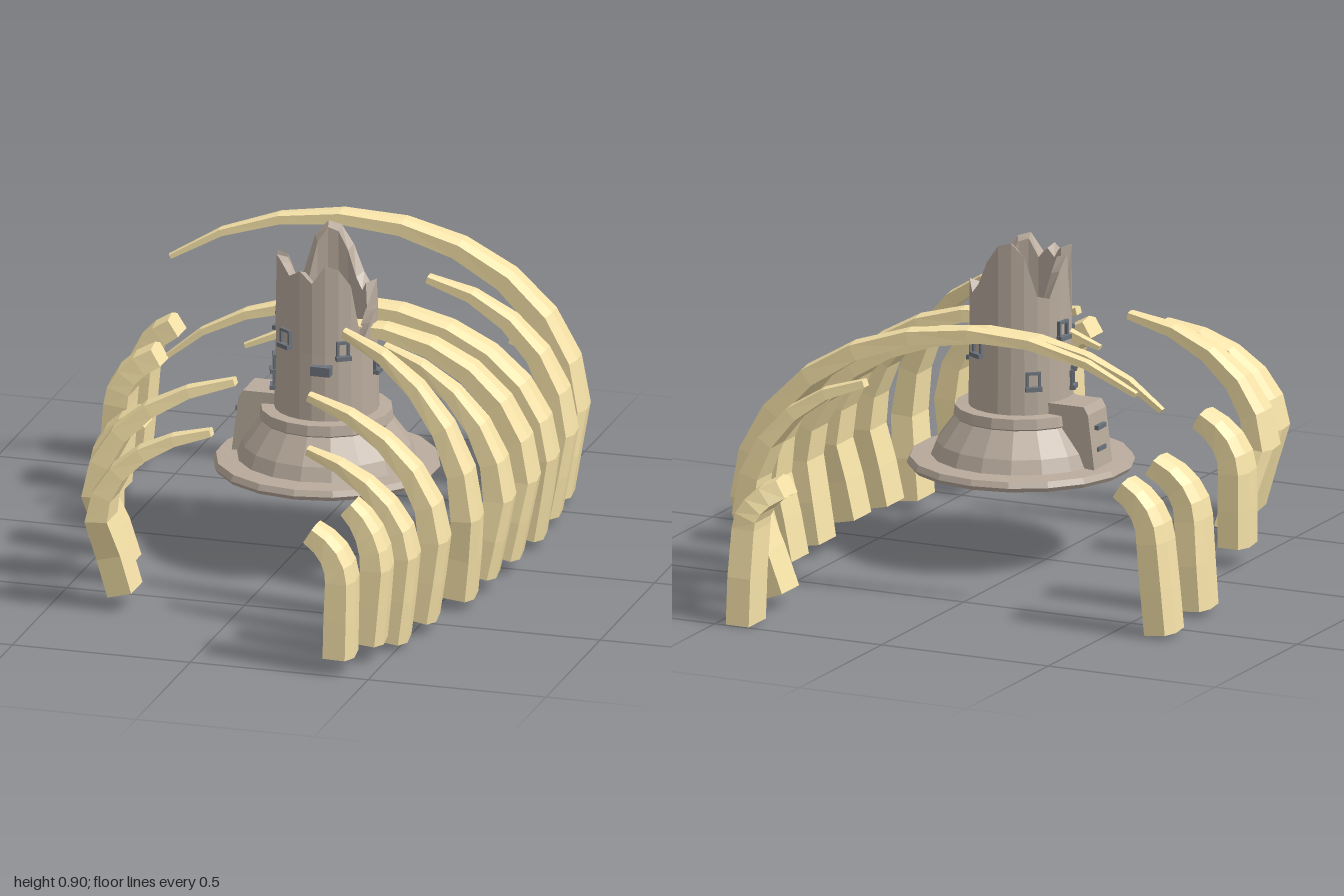
import * as THREE from 'three';

const mat = (color) => new THREE.MeshStandardMaterial({ color, flatShading: true, side: THREE.DoubleSide });
const bone = mat(0xf6e2a8), stone = mat(0xb9ab9d), trim = mat(0x6c737b);
const CX = 0.085, CZ = 0.02; // tower axis

function addMesh(parent, name, geometry, material, x = 0, y = 0, z = 0, ry = 0) {
  const m = new THREE.Mesh(geometry, material);
  m.name = name;
  m.position.set(x, y, z);
  m.rotation.y = ry;
  parent.add(m);
  return m;
}

function fromTriangles(pos, index) {
  const g = new THREE.BufferGeometry();
  g.setAttribute('position', new THREE.Float32BufferAttribute(pos, 3));
  g.setIndex(index);
  const flat = g.toNonIndexed();
  flat.computeVertexNormals();
  return flat;
}

// Tapered rib: ridged section swept up a straight foot, then along an elliptical arc
function ribGeometry(side, { foot, bulge, center, peak, sweep, endWidth = 0.03 }, tipZ) {
  const path = [new THREE.Vector3(...foot)];
  path.push(new THREE.Vector3((foot[0] + bulge[0]) / 2, (foot[1] + 0.27) / 2, foot[2] * 0.7 + bulge[1] * 0.3));
  const steps = Math.max(4, Math.round(sweep / 15));
  const reach = 1 - Math.cos(THREE.MathUtils.degToRad(sweep));
  for (let i = 0; i <= steps; i++) {
    const a = THREE.MathUtils.degToRad(sweep * i / steps);
    path.push(new THREE.Vector3(
      center + (bulge[0] - center) * Math.cos(a),
      0.27 + (peak - 0.27) * Math.sin(a),
      THREE.MathUtils.lerp(bulge[1], tipZ, ((1 - Math.cos(a)) / reach) ** 1.4)));
  }
  path.forEach((p) => { p.x *= side; });
  const section = [[-0.5, -0.5], [0.5, -0.5], [0.5, 0.3], [0.15, 0.5], [-0.5, 0.38]];
  const pos = [], index = [], n = section.length, last = path.length - 1;
  const across = new THREE.Vector3(0, 0, side);
  path.forEach((p, i) => {
    const tangent = path[Math.min(i + 1, last)].clone().sub(path[Math.max(i - 1, 0)]).normalize();
    const out = tangent.clone().cross(across).normalize();
    const s = Math.max(0, (i - 1) / (last - 1)) ** 1.6;
    const w = THREE.MathUtils.lerp(0.105, endWidth, s);
    const d = THREE.MathUtils.lerp(0.078, endWidth * 0.75, s ** 0.75);
    for (const [b, o] of section) {
      pos.push(...p.clone().addScaledVector(across, b * w).addScaledVector(out, o * d).toArray());
    }
    if (i < last) for (let j = 0; j < n; j++) {
      const a = i * n + j, b = i * n + (j + 1) % n;
      index.push(a, b, b + n, a, b + n, a + n);
    }
  });
  for (let j = 1; j < n - 1; j++) {
    index.push(0, j + 1, j, last * n, last * n + j, last * n + j + 1);
  }
  return fromTriangles(pos, index);
}

// foot x, y, z | bulge x, z | arc centre x, peak y, sweep in degrees | tip z | end width
const LEFT_RIBS = [
  [0.41, 0.055, 0.945, 0.415, 0.945, 0.24, 0.415, 61, 0.94, 0.075],
  [0.455, 0.06, 0.82, 0.475, 0.82, 0.31, 0.46, 60, 0.81, 0.07],
  [0.485, 0.03, 0.70, 0.515, 0.70, 0.13, 0.53, 76, 0.65],
  [0.52, 0.045, 0.55, 0.555, 0.55, 0.07, 0.63, 77, 0.495],
  [0.56, 0.04, 0.33, 0.585, 0.35, 0.12, 0.73, 80, 0.245],
  [0.575, 0.055, 0.175, 0.62, 0.165, 0.18, 0.65, 78, 0.10],
  [0.59, 0.055, 0.005, 0.635, -0.01, 0.15, 0.67, 125, 0.07, 0.02],
  [0.59, 0.04, -0.21, 0.63, -0.20, 0.07, 0.665, 146, -0.09, 0.02],
  [0.575, 0.04, -0.405, 0.62, -0.41, 0.14, 0.69, 77, -0.38],
  [0.555, 0.035, -0.58, 0.59, -0.615, -0.06, 0.775, 133, -0.47, 0.02],
  [0.43, 0.045, -0.755, 0.515, -0.76, 0.10, 0.66, 78, -0.72],
  [0.44, 0.01, -0.942, 0.44, -0.91, 0.26, 0.40, 60, -0.87, 0.08],
];
const RIGHT_RIBS = [
  [0.31, 0.055, 0.60, 0.365, 0.64, -0.03, 0.54, 77, 0.61],
  [0.38, 0.055, 0.38, 0.435, 0.44, -0.05, 0.615, 77, 0.39],
  [0.49, 0.065, 0.18, 0.49, 0.18, 0.28, 0.43, 61, 0.18, 0.075],
  [0.62, 0.025, -0.32, 0.60, -0.31, 0.38, 0.435, 60, -0.32, 0.08],
  [0.64, 0.02, -0.57, 0.615, -0.57, 0.42, 0.435, 60, -0.57, 0.08],
];

function buildRibs(list, side, name) {
  const group = new THREE.Group();
  group.name = name;
  for (const [fx, fy, fz, bx, bz, center, peak, sweep, tipZ, endWidth] of list) {
    const spec = { foot: [fx, fy, fz], bulge: [bx, bz], center, peak, sweep, endWidth };
    addMesh(group, 'rib', ribGeometry(side, spec, tipZ), bone);
  }
  return group;
}

// Hollow tower wall with a jagged broken rim, heights every 15 degrees from +x towards +z
function brokenWall() {
  const rim = [0.72, 0.69, 0.64, 0.81, 0.86, 0.87, 0.82, 0.85, 0.83, 0.86, 0.87, 0.68,
    0.86, 0.82, 0.75, 0.76, 0.87, 0.91, 0.90, 0.85, 0.78, 0.75, 0.78, 0.72];
  const pos = [], index = [], n = rim.length;
  const rings = [[0.142, () => 0.42], [0.138, () => 0.62], [0.138, (h) => h], [0.108, (h) => h - 0.01], [0.108, () => 0.6]];
  rings.forEach(([r, height], k) => {
    rim.forEach((h, j) => {
      const a = (j / n) * Math.PI * 2;
      pos.push(r * Math.cos(a), height(h), r * Math.sin(a));
      if (k < rings.length - 1) {
        const p = k * n + j, q = k * n + (j + 1) % n;
        index.push(p, p + n, q + n, p, q + n, q);
      }
    });
  });
  return fromTriangles(pos, index);
}

function buildTower() {
  const tower = new THREE.Group();
  tower.name = 'ruinedTower';
  tower.position.set(CX, 0, CZ);

  // Stepped foundation and collar
  const profile = [[0, 0.26], [0.3, 0.26], [0.308, 0.272], [0.3, 0.288], [0.243, 0.292], [0.228, 0.33],
    [0.178, 0.398], [0.182, 0.402], [0.178, 0.43], [0.14, 0.432], [0, 0.432]];
  addMesh(tower, 'foundation', new THREE.LatheGeometry(profile.map(([r, y]) => new THREE.Vector2(r, y)), 18), stone);
  addMesh(tower, 'brokenWall', brokenWall(), stone);

  // Upper floor with radial boards around a post
  addMesh(tower, 'upperFloor', new THREE.CylinderGeometry(0.11, 0.11, 0.02, 24), stone, 0, 0.61, 0);
  addMesh(tower, 'centralPost', new THREE.CylinderGeometry(0.024, 0.024, 0.11, 6), trim, 0, 0.665, 0);
  for (let i = 0; i < 14; i++) {
    const a = (i / 14) * Math.PI * 2;
    addMesh(tower, 'floorBoard', new THREE.BoxGeometry(0.075, 0.012, 0.016), trim,
      0.066 * Math.cos(a), 0.627, 0.066 * Math.sin(a), -a);
  }

  // Side annex with a sloped outer face and projecting ledges
  const outline = new THREE.Shape([[-0.258, 0.28], [-0.1, 0.28], [-0.1, 0.462], [-0.225, 0.462], [-0.238, 0.44]]
    .map(([x, y]) => new THREE.Vector2(x, y)));
  addMesh(tower, 'annex', new THREE.ExtrudeGeometry(outline, { depth: 0.11, bevelEnabled: false }), stone, 0, 0, -0.075);
  for (const y of [0.34, 0.4]) {
    addMesh(tower, 'annexLedge', new THREE.BoxGeometry(0.02, 0.012, 0.05), trim, -0.245, y, -0.02);
  }

  // Framed openings: angle from +x towards +z, height, width
  for (const [deg, y, w] of [[125, 0.645, 0.034], [55, 0.625, 0.03], [165, 0.5, 0.03],
    [160, 0.55, 0.03], [190, 0.65, 0.034], [300, 0.6, 0.034], [230, 0.52, 0.034], [0, 0.56, 0.034]]) {
    const a = THREE.MathUtils.degToRad(deg);
    const opening = new THREE.Group();
    opening.name = 'window';
    opening.position.set(0.138 * Math.cos(a), y, 0.138 * Math.sin(a));
    opening.rotation.y = Math.PI / 2 - a;
    for (const s of [-1, 1]) {
      addMesh(opening, 'jamb', new THREE.BoxGeometry(0.007, 0.04, 0.014), trim, s * w / 2, 0.006, 0);
    }
    addMesh(opening, 'lintel', new THREE.BoxGeometry(w + 0.007, 0.008, 0.016), trim, 0, 0.028, 0);
    addMesh(opening, 'sill', new THREE.BoxGeometry(w + 0.012, 0.012, 0.026), trim, 0, -0.015, 0.002);
    tower.add(opening);
  }
  addMesh(tower, 'balcony', new THREE.BoxGeometry(0.055, 0.026, 0.03), trim, 0.028, 0.578, 0.142);
  return tower;
}

export function createModel() {
  const model = new THREE.Group();
  model.name = 'ribcageRuin';
  model.add(buildRibs(LEFT_RIBS, 1, 'leftRibs'), buildRibs(RIGHT_RIBS, -1, 'rightRibs'), buildTower());
  return model;
}
